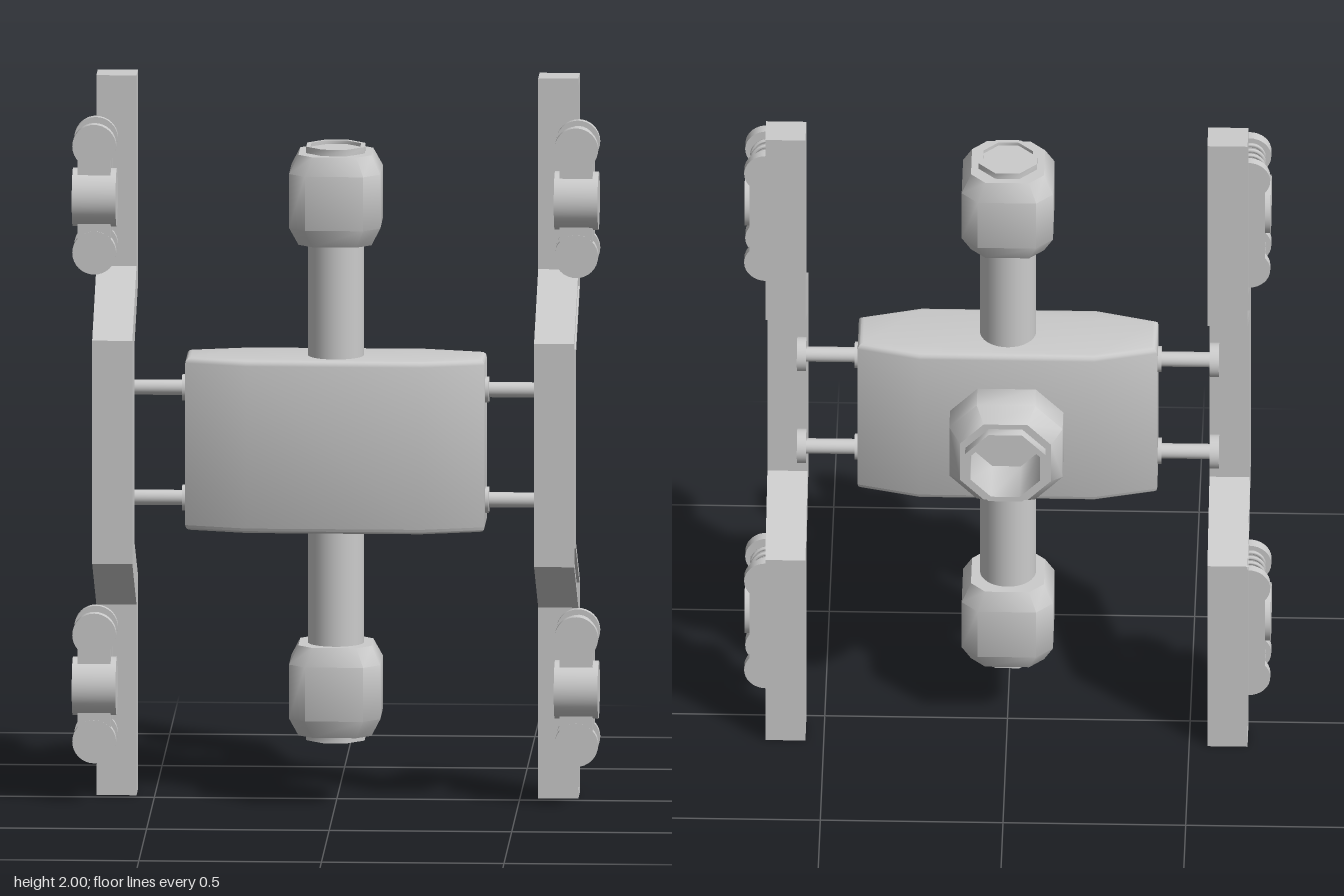
import * as THREE from 'three';
import { toCreasedNormals } from 'three/addons/utils/BufferGeometryUtils.js';

const mat = new THREE.MeshStandardMaterial({ color: 0xcccccc });

function add(parent, name, geo, x = 0, y = 0, z = 0) {
  const m = new THREE.Mesh(geo, mat);
  m.name = name;
  m.position.set(x, y, z);
  parent.add(m);
  return m;
}

const cyl = (r, h, seg = 32) => new THREE.CylinderGeometry(r, r, h, seg);
const cylX = (r, h, seg) => cyl(r, h, seg).rotateZ(Math.PI / 2);
const cylZ = (r, h, seg) => cyl(r, h, seg).rotateX(Math.PI / 2);

// Loft of chamfered squares along y; each ring is [half width, chamfer, height]
function loft(rings) {
  const pos = [], idx = [];
  for (const [h, c, y] of rings) {
    const k = h - c;
    for (const [x, z] of [[h, k], [k, h], [-k, h], [-h, k], [-h, -k], [-k, -h], [k, -h], [h, -k]]) pos.push(x, y, z);
  }
  for (let i = 0; i < rings.length - 1; i++) {
    for (let j = 0; j < 8; j++) {
      const a = i * 8 + j, b = i * 8 + (j + 1) % 8, d = a + 8, c = b + 8;
      if (rings[i][0] > 0) idx.push(a, d, b);
      if (rings[i + 1][0] > 0) idx.push(b, d, c);
    }
  }
  const g = new THREE.BufferGeometry();
  g.setAttribute('position', new THREE.Float32BufferAttribute(pos, 3));
  g.setIndex(idx);
  return toCreasedNormals(g, 0.9);
}

// Extrude a (z, y) outline along x, from x0 to x1
const toShape = pts => new THREE.Shape(pts.map(([z, y]) => new THREE.Vector2(-z, y)));
function extrudeX(pts, x0, x1, hole) {
  const s = toShape(pts);
  if (hole) s.holes.push(toShape(hole));
  return new THREE.ExtrudeGeometry(s, { depth: x1 - x0, bevelEnabled: false })
    .rotateY(Math.PI / 2).translate(x0, 0, 0);
}

// Move every side of a closed outline inwards by d, with mitred corners
function inset(pts, d) {
  const n = pts.length;
  const area = pts.reduce((s, p, i) => s + p[0] * pts[(i + 1) % n][1] - pts[(i + 1) % n][0] * p[1], 0);
  const normal = (a, b) => {
    const l = Math.hypot(b[0] - a[0], b[1] - a[1]) * Math.sign(area);
    return [-(b[1] - a[1]) / l, (b[0] - a[0]) / l];
  };
  return pts.map((p, i) => {
    const u = normal(pts[(i + n - 1) % n], p), v = normal(p, pts[(i + 1) % n]);
    const k = d / (1 + u[0] * v[0] + u[1] * v[1]);
    return [p[0] + k * (u[0] + v[0]), p[1] + k * (u[1] + v[1])];
  });
}

class Helix extends THREE.Curve {
  constructor(r, length, turns) {
    super();
    Object.assign(this, { r, length, turns });
  }
  getPoint(t, target = new THREE.Vector3()) {
    const a = t * this.turns * Math.PI * 2;
    return target.set(this.r * Math.cos(a), this.r * Math.sin(a), this.length * t);
  }
}

// Sprung unit standing on the front of a rail
function createSpringUnit() {
  const unit = new THREE.Group();
  unit.name = 'springUnit';
  add(unit, 'drum', cylX(0.08, 0.12, 40), 0, 0, 0.07);
  add(unit, 'drumMount', extrudeX([[0.11, 0.07], [0.05, 0.085], [-0.035, 0.05], [-0.035, -0.05],
    [0.05, -0.085], [0.11, -0.07]], -0.04, 0.04));
  add(unit, 'frontNeck', new THREE.BoxGeometry(0.09, 0.22, 0.028), 0, 0, 0.098);
  add(unit, 'baseNeck', new THREE.BoxGeometry(0.09, 0.22, 0.024), 0, 0, -0.023);
  for (const s of [-1, 1]) {
    const y = s * 0.148;
    add(unit, 'frontPad', cylZ(0.06, 0.03), 0, y, 0.098);
    add(unit, 'basePad', cylZ(0.06, 0.024), 0, y, -0.023);
    add(unit, 'spring', new THREE.TubeGeometry(new Helix(0.04, 0.1, 4), 100, 0.006, 6), 0, y, -0.014);
  }
  return unit;
}

// One side: cranked rail with a channel, two spring units, two rods (centred on y = 0)
function createSide() {
  const side = new THREE.Group();
  side.name = 'side';
  const half = [[-0.12, 0.4], [-0.12, 1], [-0.03, 1], [-0.03, 0.47], [0.24, 0.31]];
  const upper = [[0.115, 0.265], ...half];
  const outline = [...upper, ...upper.map(([z, y]) => [z, -y]).reverse()];
  add(side, 'railWeb', extrudeX(outline, 0.55, 0.62));
  add(side, 'railRim', extrudeX(outline, 0.62, 0.66, inset(outline, 0.02)));
  for (const s of [-1, 1]) {
    const unit = createSpringUnit();
    unit.position.set(0.66, s * 0.679, 0);
    side.add(unit);
    const y = s * 0.153;
    add(side, 'rod', cylX(0.021, 0.19, 24), 0.475, y, 0.075);
    add(side, 'rodCollar', cylX(0.036, 0.03, 24), 0.405, y, 0.075);
    add(side, 'rodEnd', cylX(0.047, 0.025), 0.565, y, 0.075);
  }
  return side;
}

export function createModel() {
  const model = new THREE.Group();
  model.name = 'model';

  // Central body: tapered plan with small bevels
  const plan = [[-0.41, -0.01], [-0.24, -0.055], [0.24, -0.055], [0.41, -0.01],
    [0.41, 0.13], [0.24, 0.178], [-0.24, 0.178], [-0.41, 0.13]];
  const bodyGeo = new THREE.ExtrudeGeometry(
    new THREE.Shape(plan.map(([x, z]) => new THREE.Vector2(x, -z))),
    { depth: 0.45, bevelThickness: 0.015, bevelSize: 0.015, bevelOffset: -0.015, bevelSegments: 3 }
  ).rotateX(-Math.PI / 2);
  add(model, 'body', toCreasedNormals(bodyGeo, 0.6), 0, 0.78, 0);

  // Column with a head at each end
  add(model, 'column', cyl(0.077, 1.16), 0, 1.005, 0.065);
  const headGeo = loft([[0, 0, 0], [0.1, 0.04, 0], [0.125, 0.045, 0.05], [0.125, 0.045, 0.2],
    [0.1, 0.04, 0.25], [0.08, 0.047, 0.25], [0.08, 0.047, 0.268], [0.068, 0.04, 0.268],
    [0.068, 0.04, 0.258], [0, 0, 0.258]]);
  add(model, 'topHead', headGeo, 0, 1.56, 0.063);
  add(model, 'bottomHead', headGeo, 0, 0.447, 0.063).rotation.x = Math.PI;

  // Hollow hub on the back
  const hubGeo = loft([[0, 0, 0], [0.12, 0.06, 0], [0.155, 0.075, 0.04], [0.155, 0.075, 0.12],
    [0.125, 0.065, 0.168], [0.11, 0.064, 0.168], [0.11, 0.064, 0.197], [0.095, 0.056, 0.197],
    [0.095, 0.056, 0.05], [0, 0, 0.05]]);
  add(model, 'rearHub', hubGeo, 0, 1.005, -0.05).rotation.x = -Math.PI / 2;

  // Left side, and the right side as its half turn
  for (const turn of [0, Math.PI]) {
    const side = createSide();
    side.name = turn ? 'rightSide' : 'leftSide';
    side.position.y = 1;
    side.rotation.z = turn;
    model.add(side);
  }
  return model;
}
